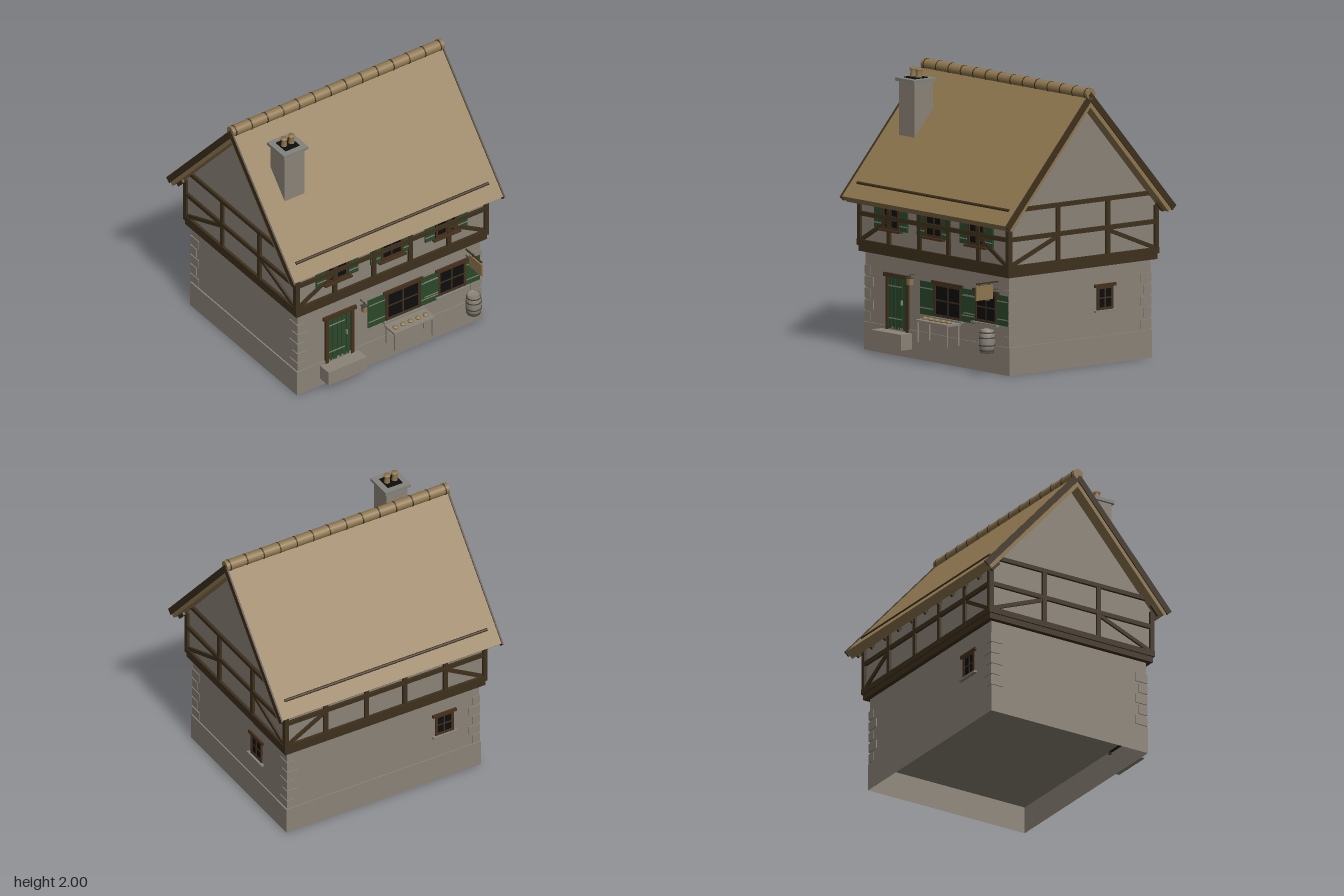
import * as THREE from 'three';

const mat = (name, color, side = THREE.FrontSide) => {
  const m = new THREE.MeshStandardMaterial({ color, side });
  m.name = name;
  return m;
};

export function createModel() {
  const stone = mat('stone', 0x8b8377, THREE.DoubleSide);
  const thatch = mat('thatch', 0x8f774f);
  const timber = mat('timber', 0x3e301d);
  const green = mat('green paint', 0x2a4829);
  const black = mat('dark glass', 0x0d0d0d);
  const iron = mat('iron', 0x45433f);
  const cap = mat('pale metal', 0x83827a);
  const brown = mat('frame wood', 0x46301c);

  const ZC = -0.03;
  const model = new THREE.Group();
  model.name = 'cottage';
  const house = new THREE.Group();
  house.name = 'house';
  house.position.z = ZC;
  model.add(house);

  const add = (parent, name, geo, m, x = 0, y = 0, z = 0) => {
    const mesh = new THREE.Mesh(geo, m);
    mesh.name = name;
    mesh.position.set(x, y, z);
    parent.add(mesh);
    return mesh;
  };
  // box given by its limits on each axis
  const box = (parent, name, m, x0, x1, y0, y1, z0, z1) =>
    add(parent, name, new THREE.BoxGeometry(x1 - x0, y1 - y0, z1 - z0), m,
      (x0 + x1) / 2, (y0 + y1) / 2, (z0 + z1) / 2);
  const group = (parent, name, x, y, z, ry = 0) => {
    const g = new THREE.Group();
    g.name = name;
    g.position.set(x, y, z);
    g.rotation.y = ry;
    parent.add(g);
    return g;
  };
  // profile in the gable plane, extruded along x
  const gableExtrude = (pts, len) =>
    new THREE.ExtrudeGeometry(new THREE.Shape(pts.map(p => new THREE.Vector2(...p))), { depth: len, bevelEnabled: false })
      .translate(0, 0, -len / 2).rotateY(Math.PI / 2);

  // plinth: open underneath
  const plinth = new THREE.BoxGeometry(1.592, 0.2, 1.314);
  const idx = Array.from(plinth.index.array);
  idx.splice(18, 6);
  plinth.setIndex(idx);
  plinth.clearGroups();
  add(house, 'plinth', plinth, stone, 0, 0.1, 0);
  box(house, 'groundWalls', stone, -0.785, 0.785, 0.2, 0.72, -0.649, 0.649);

  // corner stones
  for (const sx of [-1, 1]) for (const sz of [-1, 1]) for (let i = 0; i < 5; i++) {
    const a = i % 2 ? 0.095 : 0.06, b = i % 2 ? 0.07 : 0.098;
    add(house, 'cornerStone', new THREE.BoxGeometry(a, 0.066, b), stone,
      sx * (0.792 - a / 2), 0.242 + i * 0.083, sz * (0.656 - b / 2));
  }

  // jetty beams, upper walls with gables
  box(house, 'jettyBeam', timber, -0.82, 0.82, 0.703, 0.752, -0.684, 0.684);
  add(house, 'upperWalls', gableExtrude([[-0.673, 0.75], [0.673, 0.75], [0.673, 1.115], [0, 1.876], [-0.673, 1.115]], 1.62), stone);

  // timber framing for one face, built facing +z
  const framing = (z, ry, half, posts, top, gable) => {
    const g = group(house, 'timberFrame', Math.sin(ry) * z, 0, Math.cos(ry) * z, ry);
    box(g, 'sillBeam', timber, -half, half, 0.745, 0.788, -0.01, 0.021);
    box(g, 'rail', timber, -half, half, 0.958, 0.99, -0.01, 0.019);
    if (gable) box(g, 'gableTie', timber, -half + 0.07, half - 0.07, 1.166, 1.197, -0.01, 0.02);
    for (const p of posts) box(g, 'post', timber, p - 0.017, p + 0.017, 0.75, top, -0.01, 0.018);
    for (const s of [-1, 1]) {
      box(g, 'cornerPost', timber, s * (half - 0.0175) - 0.0175, s * (half - 0.0175) + 0.0175, 0.75, 1.09, -0.012, 0.02);
      const x0 = half - 0.035, x1 = Math.max(...posts) + 0.015;
      const dx = x1 - x0, dy = 0.165;
      const brace = add(g, 'brace', new THREE.BoxGeometry(Math.hypot(dx, dy), 0.028, 0.024), timber, s * (x0 + x1) / 2, 0.87, 0.003);
      brace.rotation.z = s * Math.atan2(dy, dx) + (s > 0 ? Math.PI : 0);
    }
  };
  const longPosts = [-0.49, -0.155, 0.16, 0.49];
  framing(0.673, 0, 0.83, longPosts, 1.09, false);
  framing(0.673, Math.PI, 0.83, longPosts, 1.09, false);
  for (const s of [-1, 1]) framing(0.81, s * Math.PI / 2, 0.693, [-0.228, 0.228], 1.18, true);

  // thatched roof
  const SLOPE = 1.13;
  const chevron = (apex, D, t, len) => {
    const c = Math.hypot(1, SLOPE), e = apex - SLOPE * D;
    const ix = D - t * SLOPE / c, iy = e - t / c;
    return gableExtrude([[0, apex], [-D, e], [-ix, iy], [0, apex - t * c], [ix, iy], [D, e]], len);
  };
  add(house, 'thatchRoof', chevron(1.963, 0.772, 0.067, 1.804), thatch);
  for (const s of [-1, 1]) {
    add(house, 'vergeBoard', chevron(1.974, 0.785, 0.046, 0.012), timber, s * 0.904);
    add(house, 'roofPole', new THREE.CylinderGeometry(0.011, 0.011, 1.66, 8).rotateZ(Math.PI / 2), timber, 0, 1.187, s * 0.687);
    for (let i = 0; i < 11; i++) {
      const tail = add(house, 'rafterTail', new THREE.BoxGeometry(0.018, 0.026, 0.09), timber, -0.865 + i * 0.173, 1.088, s * 0.672);
      tail.rotation.x = s * Math.atan(SLOPE);
    }
  }
  add(house, 'ridgeRoll', new THREE.CylinderGeometry(0.04, 0.04, 1.82, 16).rotateZ(Math.PI / 2), thatch, 0, 1.958, 0);
  for (let i = 0; i < 14; i++)
    add(house, 'ridgeBand', new THREE.CylinderGeometry(0.042, 0.042, 0.009, 16).rotateZ(Math.PI / 2), timber, -0.881 + i * 0.1355, 1.958, 0);

  // chimney
  const chimney = group(model, 'chimney', -0.635, 0, 0.283);
  box(chimney, 'stack', stone, -0.086, 0.086, 1.45, 1.905, -0.086, 0.086);
  box(chimney, 'chimneyCap', cap, -0.104, 0.104, 1.898, 1.922, -0.104, 0.104);
  box(chimney, 'flue', black, -0.06, 0.06, 1.92, 1.928, -0.06, 0.06);
  for (const s of [-1, 1])
    add(chimney, 'chimneyPot', new THREE.LatheGeometry(
      [[0.023, 0], [0.018, 0.045], [0.025, 0.05], [0.025, 0.065], [0, 0.065]].map(p => new THREE.Vector2(...p)), 10),
    thatch, s * 0.031, 1.927, 0);

  // shutter or door straps
  const strap = (g, x0, x1, y, z) => box(g, 'strap', cap, x0, x1, y - 0.004, y + 0.004, z, z + 0.003);

  // window built facing +z, y is its lower edge
  const makeWindow = (x, y, z, ry, w, h, shutter = 0, sillMat = cap, trim = true) => {
    const g = group(model, 'window', x, y, z, ry);
    const a = w / 2, f = 0.018;
    box(g, 'glass', black, -a, a, 0, h, -0.004, 0.002);
    for (const s of [-1, 1]) box(g, 'jamb', brown, s * (a - f / 2) - f / 2, s * (a - f / 2) + f / 2, 0, h, -0.004, 0.009);
    box(g, 'headRail', brown, -a, a, h - f, h, -0.004, 0.008);
    box(g, 'footRail', brown, -a, a, 0, f, -0.004, 0.008);
    box(g, 'mullion', timber, -0.005, 0.005, 0, h, 0, 0.006);
    box(g, 'glazingBar', timber, -a, a, h / 2 - 0.005, h / 2 + 0.005, 0, 0.005);
    if (trim) box(g, 'lintel', brown, -a - 0.022, a + 0.022, h - 0.005, h + 0.018, -0.004, 0.015);
    box(g, 'windowSill', sillMat, -a - 0.025, a + 0.025, -0.014, 0, -0.004, 0.026);
    if (shutter) for (const s of [-1, 1]) {
      const c = s * (a + 0.004 + shutter / 2), b = shutter / 2;
      box(g, 'shutter', green, c - b, c + b, 0, h, -0.004, 0.007);
      for (const k of [0.2, 0.8]) strap(g, c - b * 0.95, c + b * 0.95, h * k, 0.006);
    }
  };
  const FZ = 0.62;
  makeWindow(0.118, 0.328, FZ, 0, 0.295, 0.237, 0.15);
  makeWindow(0.538, 0.35, FZ, 0, 0.235, 0.215, 0.12);
  for (const x of [-0.468, 0, 0.468]) makeWindow(x, 0.893, 0.65, 0, 0.185, 0.19, 0.085, brown, false);
  makeWindow(0.785, 0.385, -0.26, Math.PI / 2, 0.15, 0.168);
  makeWindow(-0.5, 0.385, ZC - 0.649, Math.PI, 0.15, 0.168);

  // door and step
  const door = group(model, 'door', -0.43, 0, FZ);
  box(door, 'doorBack', black, -0.1, 0.1, 0.185, 0.56, -0.004, 0.003);
  for (let i = 0; i < 5; i++)
    box(door, 'doorPlank', green, -0.098 + i * 0.0395, -0.062 + i * 0.0395, 0.185, 0.556, 0, 0.007);
  for (const s of [-1, 1]) box(door, 'doorPost', brown, s * 0.11 - 0.013, s * 0.11 + 0.013, 0.175, 0.56, -0.004, 0.014);
  box(door, 'doorLintel', brown, -0.14, 0.14, 0.553, 0.58, -0.004, 0.02);
  for (const y of [0.26, 0.49]) strap(door, -0.095, 0.045, y, 0.007);
  box(door, 'doorHandle', cap, 0.052, 0.06, 0.365, 0.4, 0.006, 0.022);
  box(model, 'doorStep', stone, -0.597, -0.268, 0.063, 0.176, 0.626, 0.73);

  // lantern by the door
  box(model, 'lanternBracket', iron, -0.249, -0.243, 0.598, 0.604, 0.62, 0.67);
  box(model, 'lanternHook', iron, -0.248, -0.244, 0.575, 0.602, 0.664, 0.668);
  box(model, 'lantern', thatch, -0.264, -0.228, 0.53, 0.575, 0.65, 0.684);
  box(model, 'lanternLid', iron, -0.267, -0.225, 0.574, 0.58, 0.647, 0.687);

  // display bench with loaves
  const bench = group(model, 'bench', 0.115, 0, 0.71);
  box(bench, 'benchTop', stone, -0.175, 0.175, 0.302, 0.317, -0.066, 0.066);
  for (const sx of [-1, 1]) for (const sz of [-1, 1])
    box(bench, 'benchLeg', stone, sx * 0.16 - 0.006, sx * 0.16 + 0.006, 0.157, 0.305, sz * 0.052 - 0.006, sz * 0.052 + 0.006);
  for (let i = 0; i < 5; i++)
    add(bench, 'loaf', new THREE.SphereGeometry(0.022, 10, 6).scale(1, 0.6, 1), thatch, -0.13 + i * 0.065, 0.324, 0.01);

  // barrel
  const barrel = group(model, 'barrel', 0.66, 0.16, 0.717);
  add(barrel, 'staves', new THREE.LatheGeometry(
    [[0, 0], [0.048, 0], [0.056, 0.04], [0.058, 0.0825], [0.056, 0.125], [0.048, 0.165], [0.042, 0.165], [0.042, 0.157], [0, 0.157]]
      .map(p => new THREE.Vector2(...p)), 16), stone);
  for (const [y, r] of [[0.018, 0.0535], [0.055, 0.0588], [0.11, 0.0588], [0.147, 0.0535]])
    add(barrel, 'hoop', new THREE.CylinderGeometry(r, r, 0.009, 16), iron, 0, y, 0);

  // hanging sign, left blank
  const sign = group(model, 'hangingSign', 0.662, 0, 0);
  box(sign, 'signArm', timber, -0.005, 0.005, 0.654, 0.663, 0.61, 0.815);
  for (const z of [0.7, 0.79]) box(sign, 'signLink', iron, -0.002, 0.002, 0.638, 0.657, z - 0.002, z + 0.002);
  box(sign, 'signBoard', thatch, -0.006, 0.006, 0.54, 0.64, 0.668, 0.822);
  box(sign, 'signPendant', iron, -0.004, 0.004, 0.53, 0.541, 0.7, 0.735);
  box(sign, 'signBrace', iron, -0.004, 0.004, 0.602, 0.608, 0.61, 0.67);

  return model;
}
